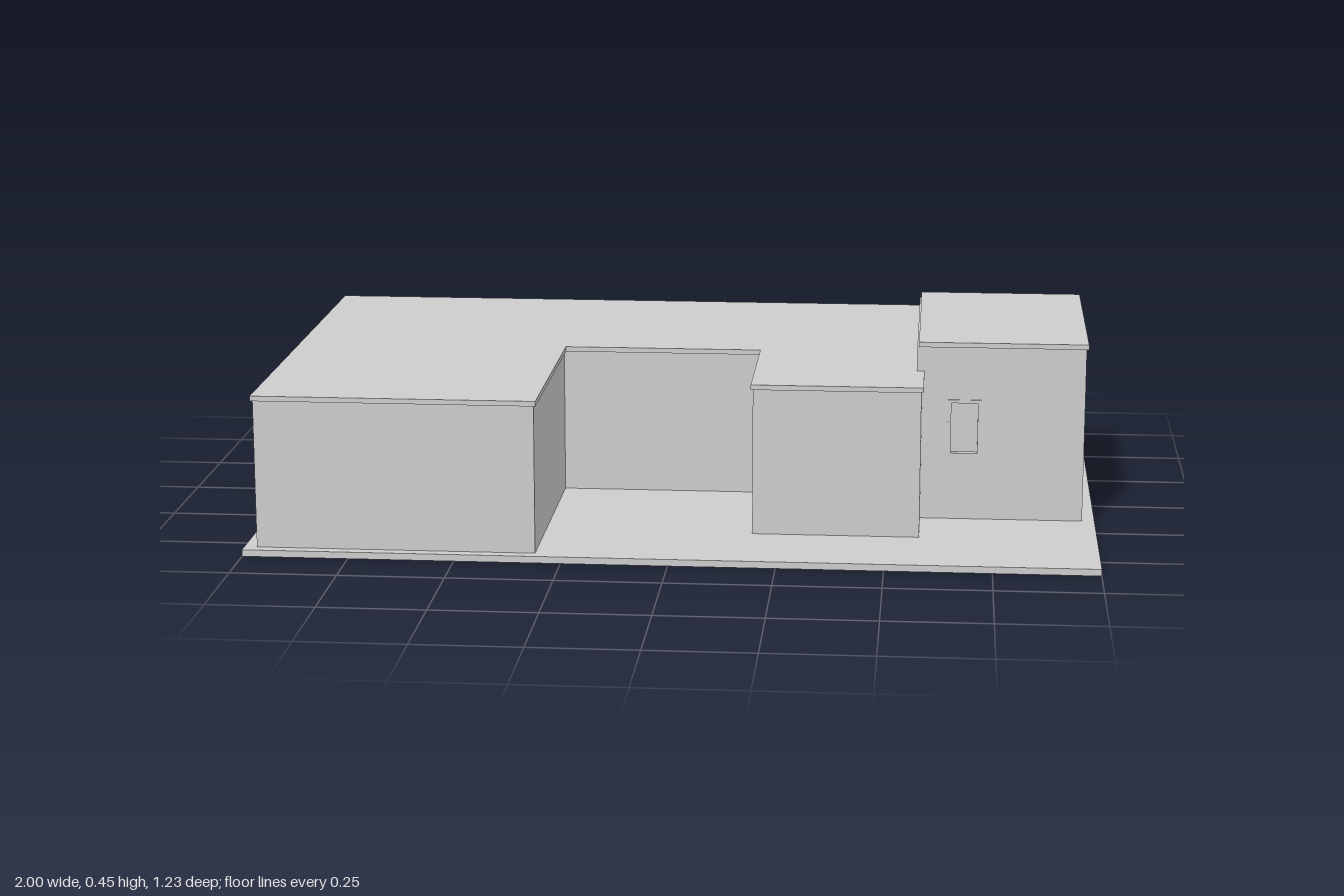
import * as THREE from 'three';

const BASE = 0.016, WALL = 0.022, EAVE = 0.005, ROOF = 0.012;

export function createModel() {
  const model = new THREE.Group();
  const grey = new THREE.MeshStandardMaterial({ color: 0xcccccc });
  grey.name = 'plaster grey';

  const add = (parent, name, geometry, x = 0, y = 0, z = 0) => {
    const mesh = new THREE.Mesh(geometry, grey);
    mesh.name = name;
    mesh.position.set(x, y, z);
    parent.add(mesh);
    return mesh;
  };
  const rect = (Type, u0, v0, u1, v1) => new Type([
    [u0, v0], [u1, v0], [u1, v1], [u0, v1]].map(([u, v]) => new THREE.Vector2(u, v)));
  const extrude = (shape, depth) => new THREE.ExtrudeGeometry(shape, { depth, bevelEnabled: false });

  // Wall from a to b, facing outwards, with an optional recessed window [u0, v0, u1, v1]
  const addWall = (parent, a, b, top, win) => {
    const dx = b[0] - a[0], dz = b[1] - a[1];
    const group = new THREE.Group();
    group.name = 'wall';
    group.position.set(a[0], 0, a[1]);
    group.rotation.y = Math.atan2(-dz, dx);
    const shape = rect(THREE.Shape, 0, BASE, Math.hypot(dx, dz), top);
    if (win) shape.holes.push(rect(THREE.Path, ...win));
    add(group, 'wallPanel', extrude(shape, WALL), 0, 0, -WALL);
    if (win) {
      const [u0, v0, u1, v1] = win, f = 0.008;
      const frame = rect(THREE.Shape, u0, v0, u1, v1);
      frame.holes.push(rect(THREE.Path, u0 + f, v0 + f, u1 - f, v1 - f));
      add(group, 'windowFrame', extrude(frame, 0.02), 0, 0, -0.017);
      add(group, 'windowPane', new THREE.BoxGeometry(u1 - u0, v1 - v0, 0.006),
        (u0 + u1) / 2, (v0 + v1) / 2, -0.018);
    }
    parent.add(group);
  };

  // Block of walls on a rectilinear outline, under a slightly overhanging flat roof
  const addBlock = (name, outline, height, windows) => {
    const block = new THREE.Group();
    block.name = name;
    const n = outline.length;
    const normal = (i) => {
      const a = outline[i % n], b = outline[(i + 1) % n];
      return [-Math.sign(b[1] - a[1]), Math.sign(b[0] - a[0])];
    };
    outline.forEach((p, i) => addWall(block, p, outline[(i + 1) % n], height - ROOF, windows[i]));
    const roof = new THREE.Shape(outline.map(([x, z], i) => {
      const p = normal(i + n - 1), q = normal(i);
      return new THREE.Vector2(x + EAVE * (p[0] + q[0]), -(z + EAVE * (p[1] + q[1])));
    }));
    add(block, 'roof', extrude(roof, ROOF).rotateX(-Math.PI / 2), 0, height - ROOF, 0);
    model.add(block);
    return block;
  };

  // Ground slab
  add(model, 'baseSlab', new THREE.BoxGeometry(2, BASE, 1.226), 0, BASE / 2, 0);

  // Low main wing wrapped around a courtyard
  addBlock('mainWing', [
    [-0.97, 0.586], [-0.312, 0.586], [-0.312, -0.008], [0.182, -0.008],
    [0.182, 0.376], [0.579, 0.376], [0.579, -0.589], [-0.97, -0.589],
  ], 0.381, { 3: [0.078, 0.145, 0.208, 0.305], 6: [0.66, 0.152, 0.772, 0.315] });

  // Taller side block with a ledge above the main roof
  const tall = addBlock('tallBlock', [
    [0.575, 0.2], [0.97, 0.2], [0.97, -0.406], [0.575, -0.406],
  ], 0.453, { 0: [0.067, 0.172, 0.147, 0.312] });
  add(tall, 'ledge', new THREE.BoxGeometry(0.012, 0.062, 0.606), 0.572, 0.409, -0.103);

  return model;
}
